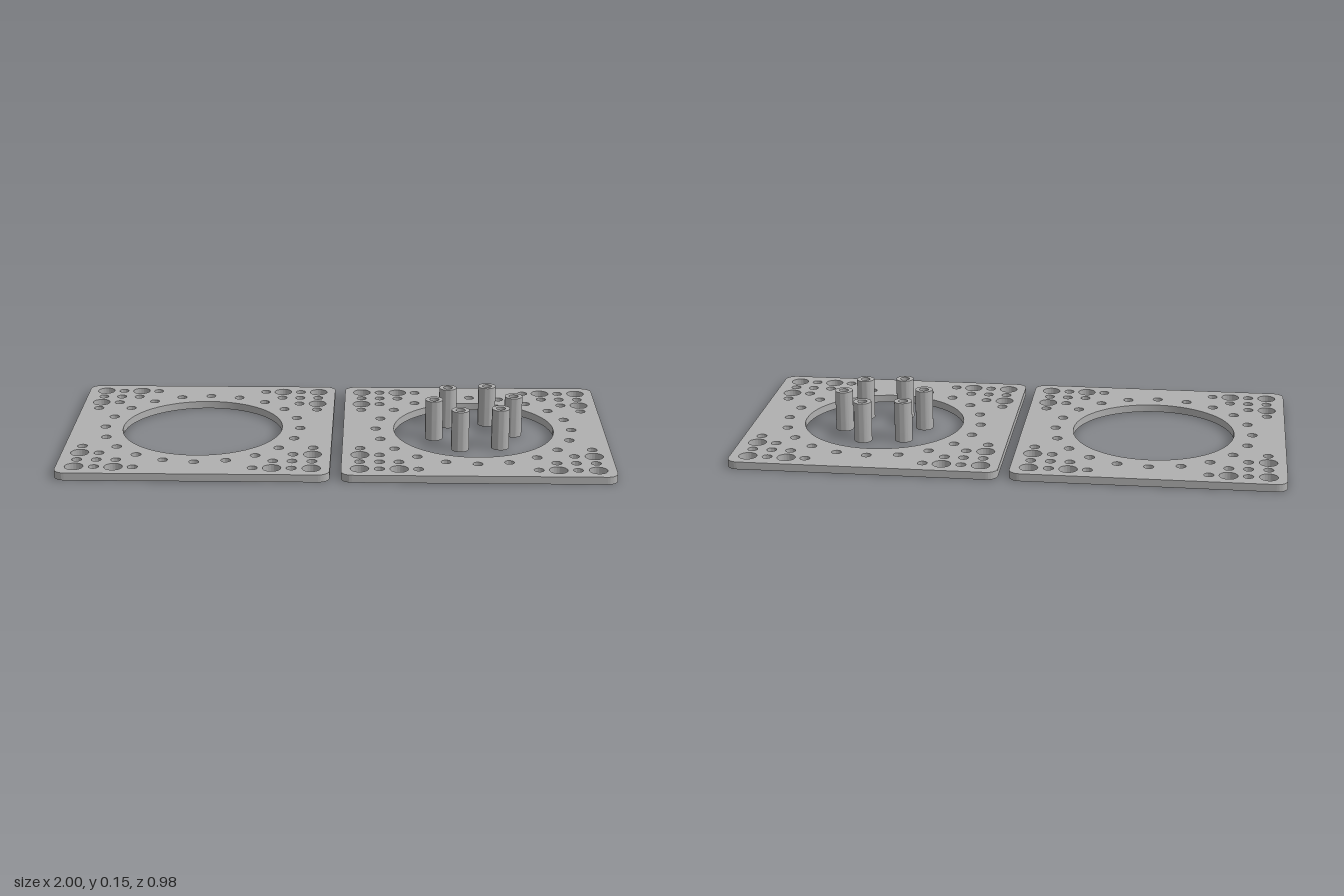
import * as THREE from 'three';
import { toCreasedNormals } from 'three/addons/utils/BufferGeometryUtils.js';

const PLATE_HALF = 0.49, PLATE_X = 0.51, CORNER = 0.04, THICK = 0.028;
const BIG = 0.033, SMALL = 0.018;

function addHole(shape, x, y, r) {
  const hole = new THREE.Path();
  hole.absarc(x, y, r, 0, Math.PI * 2, true);
  shape.holes.push(hole);
}

// Extrude a shape upward from y = 0, with smooth round walls and sharp rims
function slab(shape, height, segments) {
  const geometry = new THREE.ExtrudeGeometry(shape, {
    depth: height, bevelEnabled: false, curveSegments: segments,
  });
  geometry.rotateX(-Math.PI / 2);
  return toCreasedNormals(geometry, Math.PI / 6);
}

// Square plate with round corners, central opening, bolt circle and corner holes
function plateGeometry() {
  const shape = new THREE.Shape();
  const c = PLATE_HALF - CORNER;
  [[1, 1], [-1, 1], [-1, -1], [1, -1]].forEach(([sx, sy], i) => {
    shape.absarc(sx * c, sy * c, CORNER, i * Math.PI / 2, (i + 1) * Math.PI / 2, false);
  });
  shape.closePath();

  addHole(shape, 0, 0, 0.3);
  for (let i = 0; i < 20; i++) {
    const a = i * Math.PI / 10;
    addHole(shape, 0.368 * Math.cos(a), 0.368 * Math.sin(a), SMALL);
  }

  // Grid pitch positions from the outer corner inward
  const g = [0.424, 0.353, 0.283, 0.214];
  const cornerHoles = [
    [0, 0, BIG], [0, 2, BIG], [2, 0, BIG],
    [0, 1, SMALL], [1, 0, SMALL], [1, 1, SMALL],
    [1, 2, SMALL], [2, 1, SMALL], [0, 3, SMALL], [3, 0, SMALL],
  ];
  for (const sx of [-1, 1]) {
    for (const sy of [-1, 1]) {
      for (const [i, j, r] of cornerHoles) addHole(shape, sx * g[i], sy * g[j], r);
    }
  }
  return slab(shape, THICK, 40);
}

// Hollow spacer tube
function spacerGeometry() {
  const shape = new THREE.Shape();
  shape.absarc(0, 0, 0.033, 0, Math.PI * 2, false);
  addHole(shape, 0, 0, 0.017);
  return slab(shape, 0.153, 40);
}

export function createModel() {
  const model = new THREE.Group();
  model.name = 'mountingPlatesWithSpacers';
  const grey = new THREE.MeshStandardMaterial({ color: 0xb0b0b0 });
  grey.name = 'grey';

  const plate = plateGeometry();
  for (const side of [-1, 1]) {
    const mesh = new THREE.Mesh(plate, grey);
    mesh.name = side < 0 ? 'rightPlate' : 'leftPlate';
    mesh.position.x = side * PLATE_X;
    model.add(mesh);
  }

  // Six spacers standing in a ring inside the left plate's opening
  const spacers = new THREE.Group();
  spacers.name = 'spacers';
  spacers.position.x = PLATE_X;
  const tube = spacerGeometry();
  for (let i = 0; i < 6; i++) {
    const a = THREE.MathUtils.degToRad(-8.3 + i * 60);
    const mesh = new THREE.Mesh(tube, grey);
    mesh.name = 'spacer' + (i + 1);
    mesh.position.set(0.151 * Math.cos(a), 0, 0.151 * Math.sin(a));
    spacers.add(mesh);
  }
  model.add(spacers);
  return model;
}
